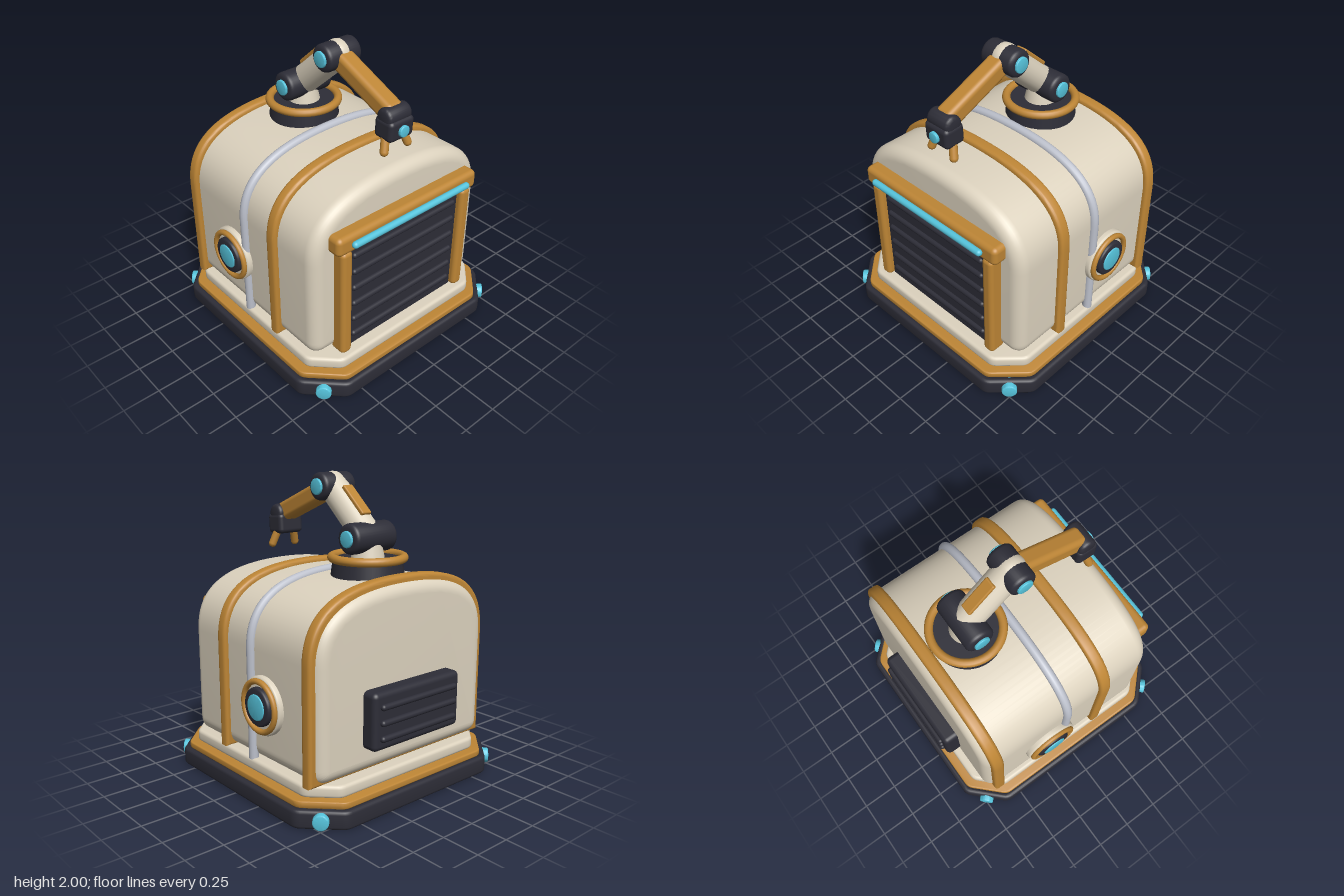
import * as THREE from 'three';
import { toCreasedNormals } from 'three/addons/utils/BufferGeometryUtils.js';
import { RoundedBoxGeometry } from 'three/addons/geometries/RoundedBoxGeometry.js';

const material = (name, color) => Object.assign(new THREE.MeshStandardMaterial({ color }), { name });

export function createModel() {
  const root = new THREE.Group();
  root.name = 'workshopPod';
  const cream = material('cream', 0xdcd2be);
  const amber = material('amber', 0xbd8535);
  const dark = material('charcoal', 0x2d2d37);
  const cyan = material('cyan', 0x56c4dc);
  const steel = material('steel', 0xbcc0cb);
  const V = (x, y, z) => new THREE.Vector3(x, y, z);
  const UP = V(0, 1, 0);

  function add(name, geometry, mat, x = 0, y = 0, z = 0, parent = root) {
    const mesh = new THREE.Mesh(geometry, mat);
    mesh.name = name;
    mesh.position.set(x, y, z);
    parent.add(mesh);
    return mesh;
  }
  const box = (name, mat, w, h, d, x, y, z, r = 0.02) =>
    add(name, new RoundedBoxGeometry(w, h, d, 4, r), mat, x, y, z);

  // Extrusion whose bevel stays inside the outline
  function extrude(shape, depth, bevel, segments = 4, curveSegments = 20) {
    const g = new THREE.ExtrudeGeometry(shape, {
      depth: depth - 2 * bevel, bevelThickness: bevel, bevelSize: bevel,
      bevelOffset: -bevel, bevelSegments: segments, curveSegments,
    });
    g.translate(0, 0, bevel);
    return toCreasedNormals(g, 0.6);
  }

  // Cylinder with softened rims, along the given axis
  function drum(name, mat, r, length, pos, axis = V(1, 0, 0), soft = 0.015, parent = root) {
    const h = length / 2;
    const pts = [new THREE.Vector2(0, -h)];
    for (const s of [-1, 1]) {
      for (let i = 0; i <= 3; i++) {
        const a = (s < 0 ? i - 3 : i) * Math.PI / 6;
        pts.push(new THREE.Vector2(r - soft + soft * Math.cos(a), s * (h - soft) + soft * Math.sin(a)));
      }
    }
    pts.push(new THREE.Vector2(0, h));
    const m = add(name, toCreasedNormals(new THREE.LatheGeometry(pts, 36), 0.6), mat, ...pos.toArray(), parent);
    m.quaternion.setFromUnitVectors(UP, axis.clone().normalize());
    return m;
  }

  // Round-ended rod between two points
  function rod(name, mat, a, b, r) {
    const dir = b.clone().sub(a);
    const mid = a.clone().add(b).multiplyScalar(0.5);
    const m = add(name, new THREE.CapsuleGeometry(r, dir.length(), 6, 20), mat, ...mid.toArray());
    m.quaternion.setFromUnitVectors(UP, dir.normalize());
    return m;
  }

  // Square with chamfered, slightly rounded corners
  function octagon(half, cut, Type = THREE.Shape) {
    const c = half - cut, f = 0.035;
    const pts = [[half, -c], [half, c], [c, half], [-c, half],
      [-half, c], [-half, -c], [-c, -half], [c, -half]].map(p => new THREE.Vector2(...p));
    const s = new Type();
    pts.forEach((p, i) => {
      const toward = q => p.clone().add(q.clone().sub(p).setLength(f));
      const a = toward(pts[(i + 7) % 8]), b = toward(pts[(i + 1) % 8]);
      if (i) s.lineTo(a.x, a.y); else s.moveTo(a.x, a.y);
      s.quadraticCurveTo(p.x, p.y, b.x, b.y);
    });
    s.closePath();
    return s;
  }
  function plate(name, mat, shape, y0, y1, bevel) {
    const g = extrude(shape, y1 - y0, bevel, 4, 4);
    g.rotateX(-Math.PI / 2);
    add(name, g, mat, 0, y0, 0);
  }

  // Hollow base skirt closed by a floor, then two stepped plates
  const skirt = octagon(0.845, 0.225);
  skirt.holes.push(octagon(0.795, 0.196, THREE.Path));
  plate('baseSkirt', dark, skirt, 0, 0.12, 0.022);
  plate('baseFloor', dark, octagon(0.8, 0.2), 0.1, 0.119, 0.002);
  plate('baseTrim', amber, octagon(0.81, 0.21), 0.116, 0.16, 0.01);
  plate('baseStep', cream, octagon(0.75, 0.165), 0.155, 0.236, 0.022);
  for (const x of [-1, 1]) for (const z of [-1, 1]) {
    drum('cornerLamp', cyan, 0.05, 0.12, V(x * 0.715, 0.062, z * 0.715), V(x, 0, z), 0.008);
  }

  // Domed hull outline: straight walls and a broad arched roof
  function arch(w, top, r, y0) {
    const s = new THREE.Shape();
    s.moveTo(-w + r, y0);
    s.lineTo(w - r, y0);
    if (r) s.quadraticCurveTo(w, y0, w, y0 + r);
    s.lineTo(w, 0.95);
    s.bezierCurveTo(w, top - 0.1, w * 0.61, top, 0, top);
    s.bezierCurveTo(-w * 0.61, top, -w, top - 0.1, -w, 0.95);
    s.lineTo(-w, y0 + r);
    if (r) s.quadraticCurveTo(-w, y0, -w + r, y0);
    return s;
  }
  add('hull', extrude(arch(0.72, 1.38, 0.1, 0.235), 1.33, 0.085, 8), cream, 0, 0, -0.7);
  for (const z of [0.25, -0.615]) {
    add('hullBand', extrude(arch(0.752, 1.412, 0, 0.226), 0.085, 0.024), amber, 0, 0, z - 0.0425);
  }

  // Steel hoop following the hull
  const hoop = new THREE.CurvePath();
  const w = 0.72, t = 1.38;
  hoop.add(new THREE.LineCurve3(V(w, 0.228, 0), V(w, 0.95, 0)));
  hoop.add(new THREE.CubicBezierCurve3(V(w, 0.95, 0), V(w, t - 0.1, 0), V(w * 0.61, t, 0), V(0, t, 0)));
  hoop.add(new THREE.CubicBezierCurve3(V(0, t, 0), V(-w * 0.61, t, 0), V(-w, t - 0.1, 0), V(-w, 0.95, 0)));
  hoop.add(new THREE.LineCurve3(V(-w, 0.95, 0), V(-w, 0.228, 0)));
  add('steelHoop', new THREE.TubeGeometry(hoop, 100, 0.032, 14), steel, 0, 0, -0.05);

  // Front shutter, frame and light bar
  box('shutter', dark, 0.96, 0.79, 0.08, 0, 0.63, 0.63, 0.01);
  for (let i = 0; i < 6; i++) {
    const y = 0.322 + i * 0.125;
    rod('shutterSlat', dark, V(-0.43, y, 0.67), V(0.43, y, 0.67), 0.021);
  }
  for (const s of [-1, 1]) box('shutterPost', amber, 0.085, 0.8, 0.12, s * 0.518, 0.632, 0.655, 0.03);
  box('shutterHeader', amber, 1.2, 0.13, 0.13, 0, 1.088, 0.655, 0.035);
  rod('lightBar', cyan, V(-0.48, 1.087, 0.733), V(0.48, 1.087, 0.733), 0.023);

  // Back vent
  box('ventBox', dark, 0.75, 0.37, 0.13, 0, 0.582, -0.735, 0.035);
  for (const y of [0.477, 0.577, 0.677]) rod('ventSlat', dark, V(-0.31, y, -0.807), V(0.31, y, -0.807), 0.02);

  // Side portholes
  for (const s of [-1, 1]) {
    const port = new THREE.Group();
    port.name = s > 0 ? 'leftPorthole' : 'rightPorthole';
    port.position.set(s * 0.72, 0.62, -0.185);
    root.add(port);
    drum('portholeRim', cream, 0.19, 0.076, V(0, 0, 0), V(s, 0, 0), 0.014, port);
    add('portholeRing', new THREE.TorusGeometry(0.16, 0.019, 12, 40), amber, s * 0.046, 0, 0, port).rotation.y = Math.PI / 2;
    drum('portholeBezel', dark, 0.125, 0.07, V(s * 0.035, 0, 0), V(s, 0, 0), 0.014, port);
    drum('portholeGlass', cyan, 0.084, 0.03, V(s * 0.062, 0, 0), V(s, 0, 0), 0.006, port);
  }

  // Turret carrying the arm
  add('turret', new THREE.CylinderGeometry(0.222, 0.239, 0.13, 40), dark, 0, 1.415, -0.325);
  add('turretRing', new THREE.TorusGeometry(0.23, 0.028, 14, 48), amber, 0, 1.482, -0.325).rotation.x = Math.PI / 2;
  add('armPedestal', new THREE.CylinderGeometry(0.085, 0.11, 0.12, 28), cream, 0, 1.53, -0.325);

  // Arm joints with glowing caps
  const shoulder = V(0, 1.608, -0.325), elbow = V(0, 1.909, 0.015), wrist = V(0, 1.695, 0.53);
  function joint(name, pos, r, half) {
    drum(name, dark, r, half * 2, pos, V(1, 0, 0), 0.028);
    for (const s of [-1, 1]) {
      drum(name + 'Cap', cyan, 0.053, 0.03, pos.clone().add(V(s * half, 0, 0)), V(1, 0, 0), 0.006);
    }
  }
  joint('shoulderJoint', shoulder, 0.098, 0.175);
  joint('elbowJoint', elbow, 0.091, 0.132);
  rod('upperArm', cream, shoulder, elbow, 0.096);
  const slope = Math.atan2(elbow.y - shoulder.y, elbow.z - shoulder.z);
  box('armPanel', amber, 0.08, 0.03, 0.25, 0, 1.832, -0.216, 0.01).rotation.x = -slope;
  const reach = wrist.clone().sub(elbow);
  const fore = elbow.clone().addScaledVector(reach, 0.5);
  box('forearm', amber, 0.13, 0.13, reach.length(), ...fore.toArray(), 0.035)
    .rotation.x = Math.atan2(-reach.y, reach.z);

  // Wrist and gripper
  drum('wristJoint', dark, 0.063, 0.19, wrist, V(1, 0, 0), 0.025);
  box('gripperBlock', dark, 0.2, 0.14, 0.15, 0, 1.622, 0.53, 0.03).rotation.x = 0.06;
  drum('gripperLamp', cyan, 0.038, 0.03, V(0, 1.615, 0.61), V(0, 0, 1), 0.006);
  for (const s of [-1, 1]) rod('gripperFinger', amber, V(s * 0.07, 1.57, 0.53), V(s * 0.098, 1.482, 0.553), 0.027);

  return root;
}
